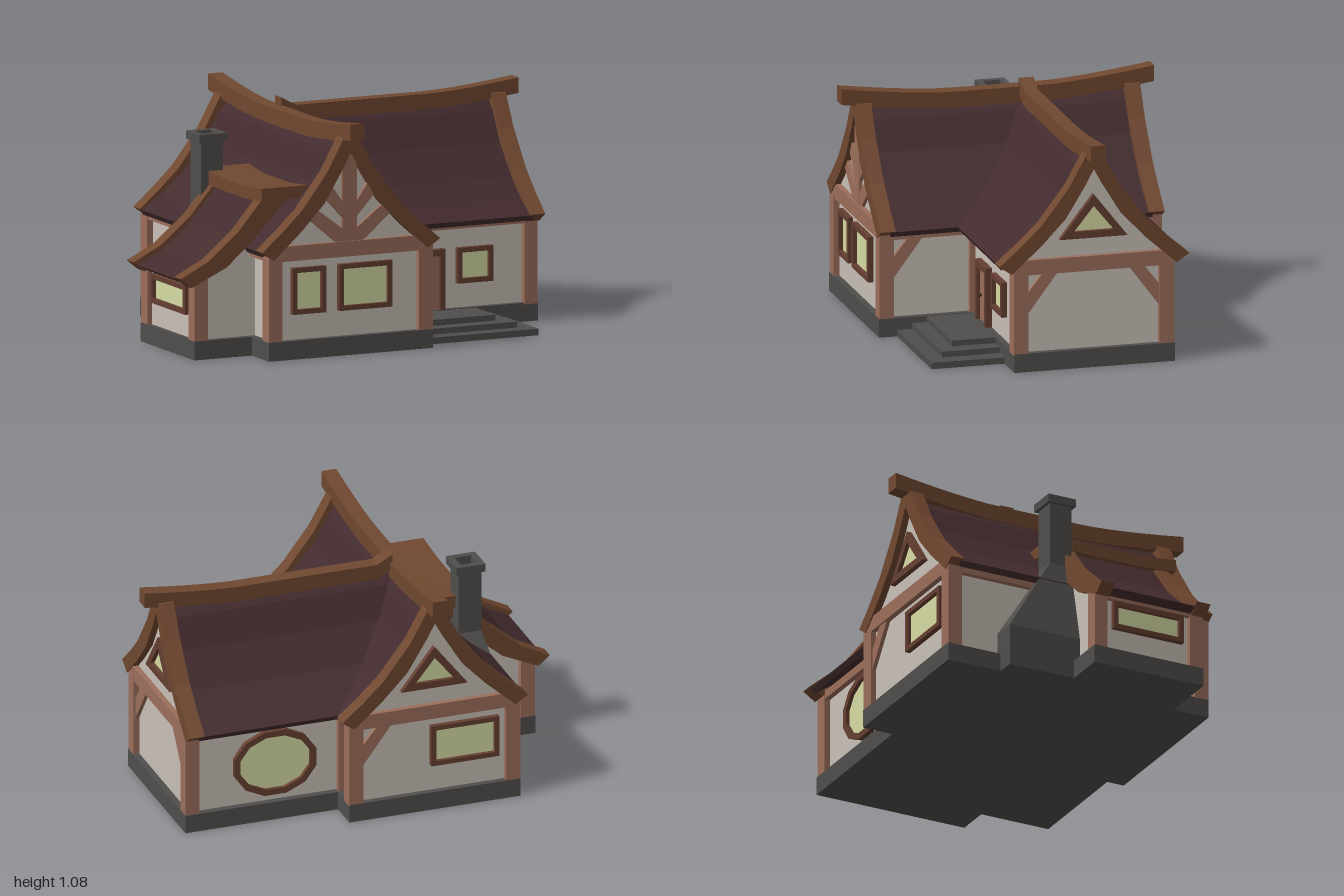
import * as THREE from 'three';

const mat = (color) => new THREE.MeshStandardMaterial({ color, flatShading: true, side: THREE.DoubleSide });
const M = {
  roof: mat(0x432b2e), trim: mat(0x704830), beam: mat(0x9c6e5b), wall: mat(0xc9c0b7),
  stone: mat(0x4f4e4c), glass: mat(0xd7dca3), frame: mat(0x653f31), dark: mat(0x3a251c),
};

function add(parent, name, geo, m) {
  const mesh = new THREE.Mesh(geo, m);
  mesh.name = name;
  parent.add(mesh);
  return mesh;
}
// Box given by its limits
function box(parent, name, m, x0, x1, y0, y1, z0, z1) {
  const g = new THREE.BoxGeometry(x1 - x0, y1 - y0, z1 - z0);
  g.translate((x0 + x1) / 2, (y0 + y1) / 2, (z0 + z1) / 2);
  return add(parent, name, g, m);
}
// Outline in x/y, extruded from z0 to z1, with an optional hole
function slab(parent, name, m, pts, z0, z1, hole) {
  const v = (list) => list.map(([x, y]) => new THREE.Vector2(x, y));
  const s = new THREE.Shape(v(pts));
  if (hole) s.holes.push(new THREE.Path(v(hole)));
  const g = new THREE.ExtrudeGeometry(s, { depth: z1 - z0, bevelEnabled: false });
  g.translate(0, 0, z0);
  return add(parent, name, g, m);
}
function place(parent, name, x, y, z, ry = 0) {
  const g = new THREE.Group();
  g.name = name;
  g.position.set(x, y, z);
  g.rotation.y = ry;
  parent.add(g);
  return g;
}
const rect = (w, h) => [[-w / 2, -h / 2], [w / 2, -h / 2], [w / 2, h / 2], [-w / 2, h / 2]];
// Curve listed from the apex outward -> full symmetric line
const both = (half) => [...half.slice(1).reverse().map(([x, y]) => [-x, y]), ...half];
const band = (outer, inner) => [...both(outer), ...both(inner).reverse()];

// Concave roof profiles: distance from ridge, height
const ROOF_TOP = [[0, 0.98], [0.05, 0.925], [0.125, 0.79], [0.25, 0.645], [0.35, 0.56], [0.44, 0.5]];
const ROOF_LOW = [[0, 0.95], [0.04, 0.89], [0.115, 0.76], [0.24, 0.615], [0.34, 0.53], [0.425, 0.475]];
const BARGE_TOP = [[0, 1.03], [0.04, 1.0], [0.12, 0.855], [0.25, 0.685], [0.35, 0.59], [0.45, 0.505]];
const BARGE_LOW = [[0, 0.94], [0.04, 0.865], [0.135, 0.71], [0.25, 0.59], [0.39, 0.465]];

function windowAt(parent, outer, inner, x, y, z, ry = 0) {
  const g = place(parent, 'window', x, y, z, ry);
  slab(g, 'windowFrame', M.frame, outer, -0.02, 0.025, inner);
  slab(g, 'windowGlass', M.glass, inner, -0.01, 0.006);
}
const rectWindow = (p, w, h, ...at) => windowAt(p, rect(w, h), rect(w - 0.045, h - 0.045), ...at);

// Diagonal strut from a post (inner edge at p) up to the beam
const strut = (parent, p, s) => slab(parent, 'diagonalBrace', M.beam,
  [[p, 0.27], [p, 0.37], [p - 0.07, 0.458], [p - 0.14, 0.458]].map(([x, y]) => [s * x, y]), -0.06, -0.012);

// Timbered gable end; its outer face lies on local z = 0
function gable(parent, half, { king = false, braces = [] }, x, z, ry) {
  const g = place(parent, 'gableEnd', x, 0, z, ry);
  for (const s of [-1, 1]) {
    const [a, b] = [s * half, s * (half - 0.07)].sort((p, q) => p - q);
    box(g, 'cornerPost', M.beam, a, b, 0.08, 0.48, -0.07, -0.002);
  }
  box(g, 'crossBeam', M.beam, -half, half, 0.455, 0.525, -0.07, -0.004);
  slab(g, 'bargeBoard', M.trim, band(BARGE_TOP, BARGE_LOW), -0.07, 0.002);
  for (const s of braces) strut(g, half - 0.07, s);
  if (king) {
    box(g, 'kingPost', M.beam, -0.037, 0.037, 0.52, 0.92, -0.05, -0.012);
    for (const s of [-1, 1]) {
      const flip = (pts) => pts.map(([px, py]) => [s * px, py]);
      slab(g, 'gableBrace', M.beam, flip([[0.03, 0.525], [0.07, 0.525], [0.23, 0.66], [0.19, 0.7], [0.03, 0.58]]), -0.05, -0.014);
      slab(g, 'gableBrace', M.beam, flip([[0.03, 0.63], [0.03, 0.7], [0.1, 0.8], [0.14, 0.75]]), -0.05, -0.014);
    }
  } else {
    windowAt(g, [[-0.16, 0.61], [0.16, 0.61], [0, 0.815]], [[-0.095, 0.643], [0.095, 0.643], [0, 0.76]], 0, 0, -0.03);
  }
}

// Ridge beam along z whose ends sweep upward beyond the flat part
function ridge(parent, x0, x1, y0, y1, z0, z1, flat, rise) {
  const mesh = box(parent, 'ridgeBeam', M.trim, 0, 1, 0, 1, 0, 1);
  const g = new THREE.BoxGeometry(x1 - x0, y1 - y0, z1 - z0, 1, 1, 16);
  g.translate((x0 + x1) / 2, (y0 + y1) / 2, (z0 + z1) / 2);
  const p = g.attributes.position;
  const mid = (flat[0] + flat[1]) / 2;
  for (let i = 0; i < p.count; i++) {
    const z = p.getZ(i);
    const t = z > mid ? (z - flat[1]) / (z1 - flat[1]) : (flat[0] - z) / (flat[0] - z0);
    p.setY(i, p.getY(i) + rise * Math.pow(Math.max(0, t), 1.5));
  }
  g.computeVertexNormals();
  mesh.geometry = g;
}

// Walls, eaves beams and roof of one wing, ridge along local z
function wing(parent, name, half, z0, z1, roofZ0, roofZ1, x, z, ry) {
  const g = place(parent, name, x, 0, z, ry);
  const w = half - 0.03;
  const top = BARGE_LOW.slice(0, 4).map(([a, b]) => [a, b + 0.012]);
  slab(g, 'walls', M.wall, [[-w, 0.08], [-w, 0.49], ...both(top), [w, 0.49], [w, 0.08]], z0, z1);
  slab(g, 'roof', M.roof, band(ROOF_TOP, ROOF_LOW), roofZ0, roofZ1);
  for (const s of [-1, 1]) {
    box(g, 'eavesBeam', M.beam, Math.min(s * half, s * (half - 0.06)) + 0.004, Math.max(s * half, s * (half - 0.06)) - 0.004, 0.455, 0.495, z0, z1);
  }
  return g;
}

export function createModel() {
  const house = new THREE.Group();
  house.name = 'cottage';

  // Foundations and steps
  box(house, 'foundation', M.stone, -0.64, 0.19, 0, 0.087, -0.67, 0.67);
  box(house, 'wingFoundation', M.stone, 0.1, 0.93, 0, 0.087, -0.52, 0.24);
  box(house, 'leanToFoundation', M.stone, -0.93, -0.6, 0, 0.087, -0.07, 0.49);
  for (let i = 0; i < 3; i++) {
    box(house, 'step', M.stone, 0.15, 0.765 - i * 0.075, 0, 0.03 + i * 0.027, 0.2, 0.585 - i * 0.07);
  }

  // Main wing
  const main = wing(house, 'mainWing', 0.415, -0.64, 0.64, -0.62, 0.62, -0.225, 0, 0);
  ridge(main, -0.036, 0.036, 0.95, 1.025, -0.74, 0.74, [-0.22, 0.22], 0.053);
  gable(house, 0.415, { king: true }, -0.225, 0.67, 0);
  gable(house, 0.415, { braces: [-1] }, -0.225, -0.67, Math.PI);

  // Side wing toward the left
  const side = wing(house, 'sideWing', 0.38, -0.1, 0.9, -0.225, 0.88, 0, -0.137, Math.PI / 2);
  ridge(side, -0.035, 0.035, 0.952, 1.024, -0.2, 1.0, [0.2, 0.5], 0);
  side.children.pop();
  ridge(side, -0.035, 0.035, 0.952, 1.024, -0.2, 1.0, [-0.19, 0.55], 0.04);
  gable(house, 0.38, { braces: [-1, 1] }, 0.93, -0.137, Math.PI / 2);

  // Inner corner posts and the brace on the main wing's side wall
  for (const z of [0.225, -0.505]) box(house, 'innerPost', M.beam, 0.15, 0.188, 0.08, 0.47, z - 0.014, z + 0.014);
  strut(place(house, 'sideBrace', 0.19, 0, 0, Math.PI / 2), 0.6, -1);

  // Windows
  rectWindow(house, 0.17, 0.215, -0.432, 0.313, 0.64);
  rectWindow(house, 0.27, 0.215, -0.147, 0.313, 0.64);
  rectWindow(house, 0.18, 0.165, 0.617, 0.283, 0.213);
  rectWindow(house, 0.33, 0.2, -0.375, 0.315, -0.64, Math.PI);
  const oval = (rx, ry) => Array.from({ length: 12 }, (_, i) => {
    const a = (i + 0.5) * Math.PI / 6;
    return [rx * Math.cos(a), ry * Math.sin(a)];
  });
  windowAt(house, oval(0.205, 0.165), oval(0.175, 0.135), 0.49, 0.28, -0.487, Math.PI);

  // Door
  const door = place(house, 'door', 0.372, 0.087, 0.213);
  slab(door, 'doorFrame', M.frame, [[-0.09, 0], [-0.09, 0.28], [0.09, 0.28], [0.09, 0], [0.065, 0], [0.065, 0.25], [-0.065, 0.25], [-0.065, 0]], -0.02, 0.03);
  box(door, 'doorPanel', M.beam, -0.065, 0.065, 0, 0.25, -0.02, 0.012);
  const knob = add(door, 'doorKnob', new THREE.IcosahedronGeometry(0.009, 1), M.dark);
  knob.position.set(-0.045, 0.12, 0.018);

  // Lean-to
  const lean = place(house, 'leanTo', 0, 0, 0);
  slab(lean, 'leanToWalls', M.wall, [[-0.905, 0.08], [-0.6, 0.08], [-0.6, 0.58], [-0.64, 0.54], [-0.77, 0.43], [-0.905, 0.36]], -0.04, 0.46);
  slab(lean, 'leanToRoof', M.roof, [[-0.98, 0.365], [-0.86, 0.425], [-0.71, 0.55], [-0.58, 0.7], [-0.45, 0.7], [-0.5, 0.68], [-0.64, 0.54], [-0.77, 0.43], [-0.94, 0.342]], -0.02, 0.44);
  for (const z of [-0.07, 0.42]) {
    slab(lean, 'leanToBargeBoard', M.trim, [[-1, 0.38], [-0.86, 0.45], [-0.71, 0.575], [-0.58, 0.725], [-0.45, 0.725], [-0.5, 0.67], [-0.64, 0.525], [-0.77, 0.415], [-0.945, 0.335]], z, z + 0.07);
    box(lean, 'leanToPost', M.beam, -0.928, -0.86, 0.08, 0.37, z + 0.002, z + 0.068);
  }
  box(lean, 'leanToBeam', M.beam, -0.925, -0.88, 0.335, 0.365, -0.03, 0.45);
  ridge(lean, -0.603, -0.35, 0.7, 0.757, -0.105, 0.52, [0.1, 0.31], 0.015);
  rectWindow(lean, 0.36, 0.135, -0.905, 0.262, 0.21, -Math.PI / 2);

  // Chimney: wide foot, tapered shoulder, hollow stack and cap
  const chimney = place(house, 'chimney', 0, 0, 0);
  box(chimney, 'chimneyFoot', M.stone, -0.73, -0.53, 0, 0.2, -0.4, -0.03);
  const shoulder = box(chimney, 'chimneyShoulder', M.stone, -0.73, -0.53, 0.2, 0.6, -0.4, -0.03);
  const p = shoulder.geometry.attributes.position;
  for (let i = 0; i < p.count; i++) {
    if (p.getY(i) < 0.5) continue;
    p.setX(i, p.getX(i) < -0.6 ? -0.64 : -0.53);
    p.setZ(i, p.getZ(i) < -0.2 ? -0.147 : -0.037);
  }
  shoulder.geometry.computeVertexNormals();
  const stack = place(chimney, 'chimneyStack', -0.585, 0, -0.092);
  stack.rotation.x = -Math.PI / 2;
  slab(stack, 'stackShaft', M.stone, rect(0.11, 0.11), 0.59, 0.905, rect(0.08, 0.08));
  slab(stack, 'stackCap', M.stone, rect(0.14, 0.14), 0.9, 0.938, rect(0.08, 0.08));

  return house;
}
